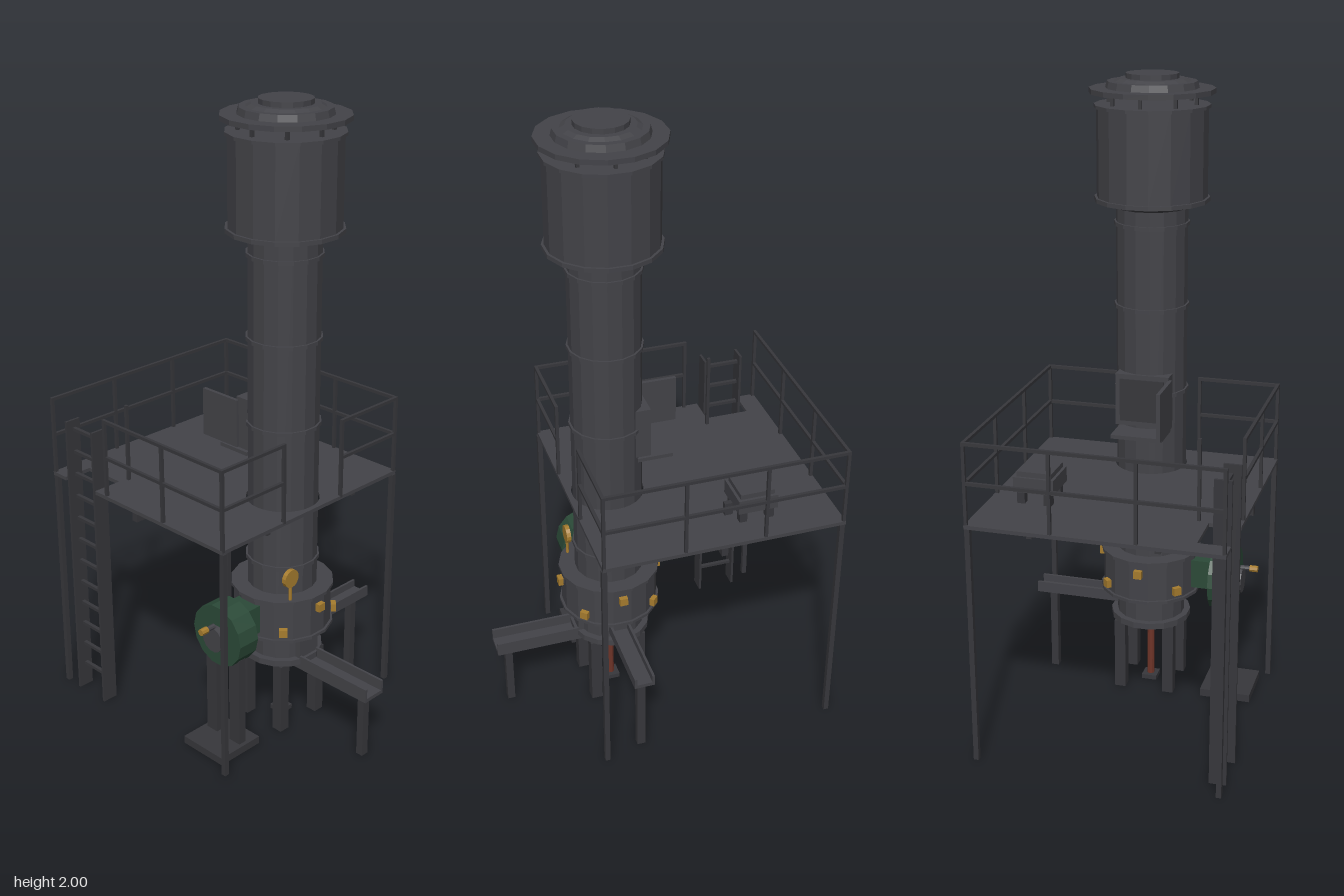
import * as THREE from 'three';

const paint = (name, color, flat = true) => {
  const m = new THREE.MeshStandardMaterial({ color, flatShading: flat, side: THREE.DoubleSide });
  m.name = name;
  return m;
};

export function createModel() {
  const steel = paint('dark steel', 0x434348);
  const frame = paint('frame steel', 0x37373b);
  const green = paint('blower green', 0x2b4a38);
  const brass = paint('brass', 0xa67c2e);
  const rust = paint('rust red', 0x6e3428);
  const model = new THREE.Group();
  const CZ = 0.126; // furnace axis
  const SIDES = 16;

  const add = (name, geo, mat, x = 0, y = 0, z = 0, parent = model) => {
    const m = new THREE.Mesh(geo, mat);
    m.name = name;
    m.position.set(x, y, z);
    parent.add(m);
    return m;
  };
  // box given by its minimum and maximum on each axis
  const box = (name, mat, x0, x1, y0, y1, z0, z1, parent = model) =>
    add(name, new THREE.BoxGeometry(x1 - x0, y1 - y0, z1 - z0), mat,
      (x0 + x1) / 2, (y0 + y1) / 2, (z0 + z1) / 2, parent);
  // upright drum on the furnace axis
  const drum = (name, y0, y1, r0, r1 = r0) => {
    const g = new THREE.CylinderGeometry(r1, r0, y1 - y0, SIDES);
    g.rotateY(Math.PI / SIDES);
    return add(name, g, steel, 0, (y0 + y1) / 2, CZ);
  };

  // furnace shell, wind box and spark arrestor
  drum('basePlate', 0.24, 0.26, 0.13);
  drum('shell', 0.26, 1.62, 0.11);
  drum('windBox', 0.35, 0.485, 0.155);
  drum('windBoxLowerFlange', 0.345, 0.355, 0.163);
  drum('windBoxUpperFlange', 0.48, 0.49, 0.163);
  for (const y of [0.58, 1.03, 1.3, 1.555]) drum('shellBand', y - 0.006, y + 0.006, 0.116);
  drum('hoodCone', 1.605, 1.625, 0.115, 0.16);
  drum('hoodLowerFlange', 1.622, 1.635, 0.176);
  drum('hood', 1.63, 1.905, 0.168);
  drum('hoodUpperFlange', 1.9, 1.91, 0.175);
  drum('capRim', 1.942, 1.957, 0.189);
  drum('capStep', 1.957, 1.977, 0.14, 0.135);
  drum('capCone', 1.977, 1.985, 0.115, 0.1);
  drum('capTop', 1.98, 2.0, 0.08);
  for (let i = 0; i < 8; i++) {
    const a = i * Math.PI / 4;
    const x = 0.135 * Math.sin(a), z = CZ + 0.135 * Math.cos(a);
    box('capPost', frame, x - 0.005, x + 0.005, 1.905, 1.945, z - 0.005, z + 0.005);
  }

  // furnace legs and drop-bottom prop
  for (const sx of [-1, 1]) for (const sz of [-1, 1]) {
    const x = sx * 0.081, z = CZ + sz * 0.075;
    box('furnaceLeg', frame, x - 0.018, x + 0.018, 0, 0.24, z - 0.018, z + 0.018);
  }
  add('bottomProp', new THREE.CylinderGeometry(0.012, 0.012, 0.23, 10), rust, 0, 0.125, CZ);
  box('propFoot', frame, -0.025, 0.025, 0, 0.015, CZ - 0.025, CZ + 0.025);

  // tuyeres, alternating in height around the wind box
  for (let i = 0; i < 8; i++) {
    const t = new THREE.Group();
    t.name = 'tuyere';
    t.position.set(0, i % 2 ? 0.385 : 0.45, CZ);
    t.rotation.y = i * Math.PI / 4;
    box('tuyerePipe', steel, -0.008, 0.008, -0.008, 0.008, 0.14, 0.165, t);
    box('tuyereCover', brass, -0.013, 0.013, -0.013, 0.013, 0.156, 0.172, t);
    model.add(t);
  }

  // pressure gauge
  const dial = add('gaugeDial', new THREE.CylinderGeometry(0.03, 0.03, 0.014, 14), brass, -0.085, 0.565, 0.241);
  dial.rotation.x = Math.PI / 2;
  add('gaugePipe', new THREE.CylinderGeometry(0.005, 0.005, 0.06, 8), brass, -0.085, 0.515, 0.241);

  // U-shaped troughs running outward along local +z
  const trough = (name, y0, y1, end, leg, angle) => {
    const t = new THREE.Group();
    t.name = name;
    t.position.z = CZ;
    t.rotation.y = angle;
    const w = angle ? 0.033 : 0.041;
    box('troughFloor', steel, -w, w, y0, y0 + 0.012, 0.1, end, t);
    for (const s of [-1, 1])
      box('troughWall', steel, s * (w - 0.004) - 0.004, s * (w - 0.004) + 0.004, y0, y1, 0.1, end, t);
    box('tapBlock', steel, -w, w, y0, 0.335, 0.09, 0.118, t);
    box('troughLeg', frame, -0.013, 0.013, 0, y0, leg - 0.012, leg + 0.012, t);
    model.add(t);
  };
  trough('tappingSpout', 0.222, 0.268, 0.391, 0.35, 0);
  trough('slagSpout', 0.28, 0.316, 0.385, 0.336, Math.PI / 2);

  // blower, duct and stand
  const alongX = (name, r, x0, x1, y, mat, n) => {
    const m = add(name, new THREE.CylinderGeometry(r, r, x1 - x0, n), mat, (x0 + x1) / 2, y, CZ);
    m.rotation.z = Math.PI / 2;
  };
  alongX('blowerCasing', 0.102, -0.288, -0.212, 0.4, green, 14);
  box('blowerDuct', green, -0.215, -0.14, 0.37, 0.465, CZ - 0.045, CZ + 0.045);
  alongX('blowerHub', 0.042, -0.308, -0.286, 0.395, steel, 14);
  alongX('blowerShaft', 0.008, -0.335, -0.3, 0.44, steel, 8);
  alongX('blowerFitting', 0.011, -0.356, -0.33, 0.44, brass, 8);
  box('blowerBase', frame, -0.355, -0.19, 0, 0.025, CZ - 0.085, CZ + 0.085);
  for (const s of [-1, 1])
    box('blowerPost', frame, -0.265, -0.238, 0.025, 0.33, CZ + s * 0.05 - 0.022, CZ + s * 0.05 + 0.022);

  // charging deck with ladder notch and shell opening (shape y is -z)
  const deck = new THREE.Shape();
  [[-0.387, -0.255], [0.387, -0.255], [0.387, 0.517], [-0.387, 0.517], [-0.387, 0.455],
    [-0.29, 0.455], [-0.29, 0.31], [-0.387, 0.31]].forEach(([x, y], i) => i ? deck.lineTo(x, y) : deck.moveTo(x, y));
  const hole = new THREE.Path();
  hole.absarc(0, -CZ, 0.114, 0, Math.PI * 2, true);
  deck.holes.push(hole);
  const deckGeo = new THREE.ExtrudeGeometry(deck, { depth: 0.012, bevelEnabled: false, curveSegments: 16 });
  deckGeo.rotateX(-Math.PI / 2);
  add('deck', deckGeo, steel, 0, 0.765, 0);
  box('deckBeam', frame, -0.387, 0.387, 0.738, 0.765, -0.135, -0.115);
  for (const x of [-0.19, 0.19]) box('deckJoist', frame, x - 0.008, x + 0.008, 0.755, 0.765, -0.51, 0.25);
  for (const x of [-0.378, 0.378]) for (const z of [-0.507, 0.25])
    box('deckPost', frame, x - 0.008, x + 0.008, 0, 0.765, z - 0.008, z + 0.008);

  // railings: each run has posts at the listed points and two rails
  const R = 0.005, X = 0.381, Z0 = -0.511, Z1 = 0.25;
  const railing = (pts) => {
    pts.forEach(([x, z]) => box('railPost', frame, x - R, x + R, 0.77, 1.03, z - R, z + R));
    const a = pts[0], b = pts[pts.length - 1];
    for (const y of [0.905, 1.026])
      box('rail', frame, Math.min(a[0], b[0]) - R, Math.max(a[0], b[0]) + R, y - R, y + R,
        Math.min(a[1], b[1]) - R, Math.max(a[1], b[1]) + R);
  };
  railing([[-X, Z0], [-0.127, Z0], [0.127, Z0], [X, Z0]]);
  railing([[X, Z0], [X, -0.257], [X, -0.003], [X, Z1]]);
  railing([[-X, Z1], [-X, -0.003], [-X, -0.26]]);
  railing([[-X, Z1], [-0.127, Z1]]);
  railing([[0.127, Z1], [X, Z1]]);
  box('hatchPost', frame, -0.263, -0.253, 0.77, 1.03, -0.305, -0.295);

  // ladder
  for (const z of [-0.443, -0.319])
    box('ladderStringer', frame, -0.386, -0.333, 0, 0.97, z - 0.004, z + 0.004);
  for (let i = 0; i < 12; i++) {
    const y = 0.085 + i * 0.0777;
    box('ladderRung', frame, -0.362, -0.35, y - 0.005, y + 0.005, -0.443, -0.319);
  }

  // charging opening, sill and open door at the back of the shell
  box('chargingFrame', steel, -0.085, 0.085, 0.935, 1.1, 0.01, 0.06);
  box('chargingOpening', frame, -0.07, 0.07, 0.95, 1.085, 0.006, 0.012);
  box('chargingSill', steel, -0.082, 0.08, 0.913, 0.925, -0.063, 0.05);
  box('chargingDoor', steel, -0.094, -0.082, 0.937, 1.09, -0.127, 0.02);

  // weighing scale on the deck
  box('scaleBody', steel, 0.178, 0.304, 0.815, 0.862, -0.325, -0.198);
  box('scaleTray', steel, 0.187, 0.295, 0.862, 0.878, -0.316, -0.207);
  for (const x of [0.2, 0.283]) for (const z of [-0.305, -0.218])
    box('scaleLeg', frame, x - 0.012, x + 0.012, 0.775, 0.815, z - 0.012, z + 0.012);
  box('scaleLever', frame, 0.233, 0.25, 0.78, 0.822, -0.2, -0.174);

  return model;
}
